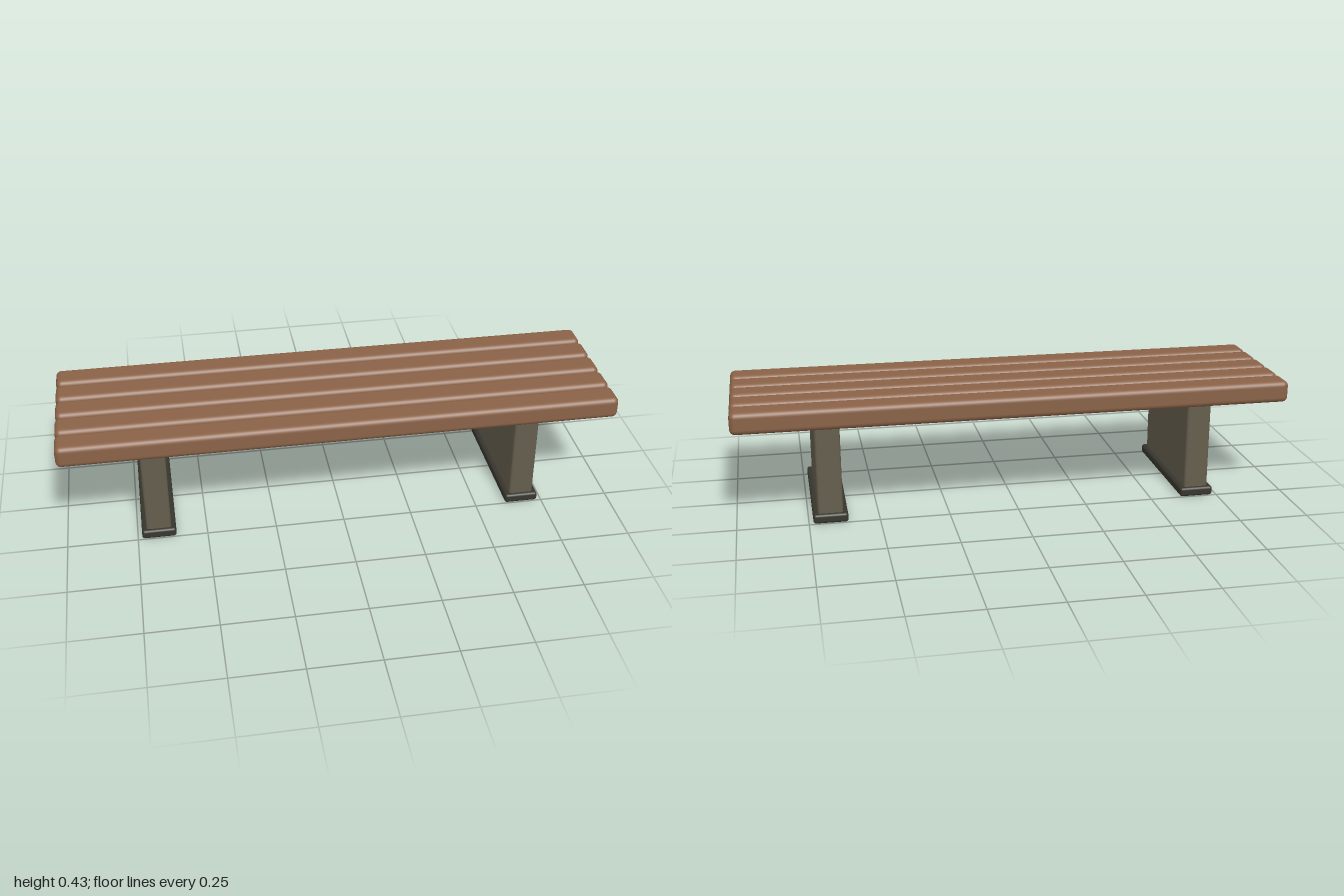
import * as THREE from 'three';
import { RoundedBoxGeometry } from 'three/addons/geometries/RoundedBoxGeometry.js';

function material(name, color) {
  const m = new THREE.MeshStandardMaterial({ color });
  m.name = name;
  return m;
}

export function createModel() {
  const bench = new THREE.Group();
  bench.name = 'bench';
  const wood = material('brown wood', 0x8a6247);
  const stone = material('olive grey', 0x655e4d);
  const dark = material('dark base', 0x37362d);

  // Rounded block spanning y0..y1, centred at x, z
  function block(name, mat, width, depth, y0, y1, radius, x = 0, z = 0) {
    const mesh = new THREE.Mesh(new RoundedBoxGeometry(width, y1 - y0, depth, 4, radius), mat);
    mesh.name = name;
    mesh.position.set(x, (y0 + y1) / 2, z);
    bench.add(mesh);
  }

  // Five seat slats
  for (let i = -2; i <= 2; i++) {
    block('seatSlat', wood, 2, 0.1, 0.351, 0.431, 0.02, 0, i * 0.111);
  }

  // Slab legs on wider feet
  for (const [side, s] of [['left', 1], ['right', -1]]) {
    block(side + 'Leg', stone, 0.089, 0.476, 0.022, 0.37, 0.01, s * 0.673);
    block(side + 'Foot', dark, 0.123, 0.502, 0, 0.034, 0.01, s * 0.673);
  }

  // Beam running through both legs beneath the seat
  block('beam', stone, 1.488, 0.095, 0.285, 0.37, 0.015);

  return bench;
}
